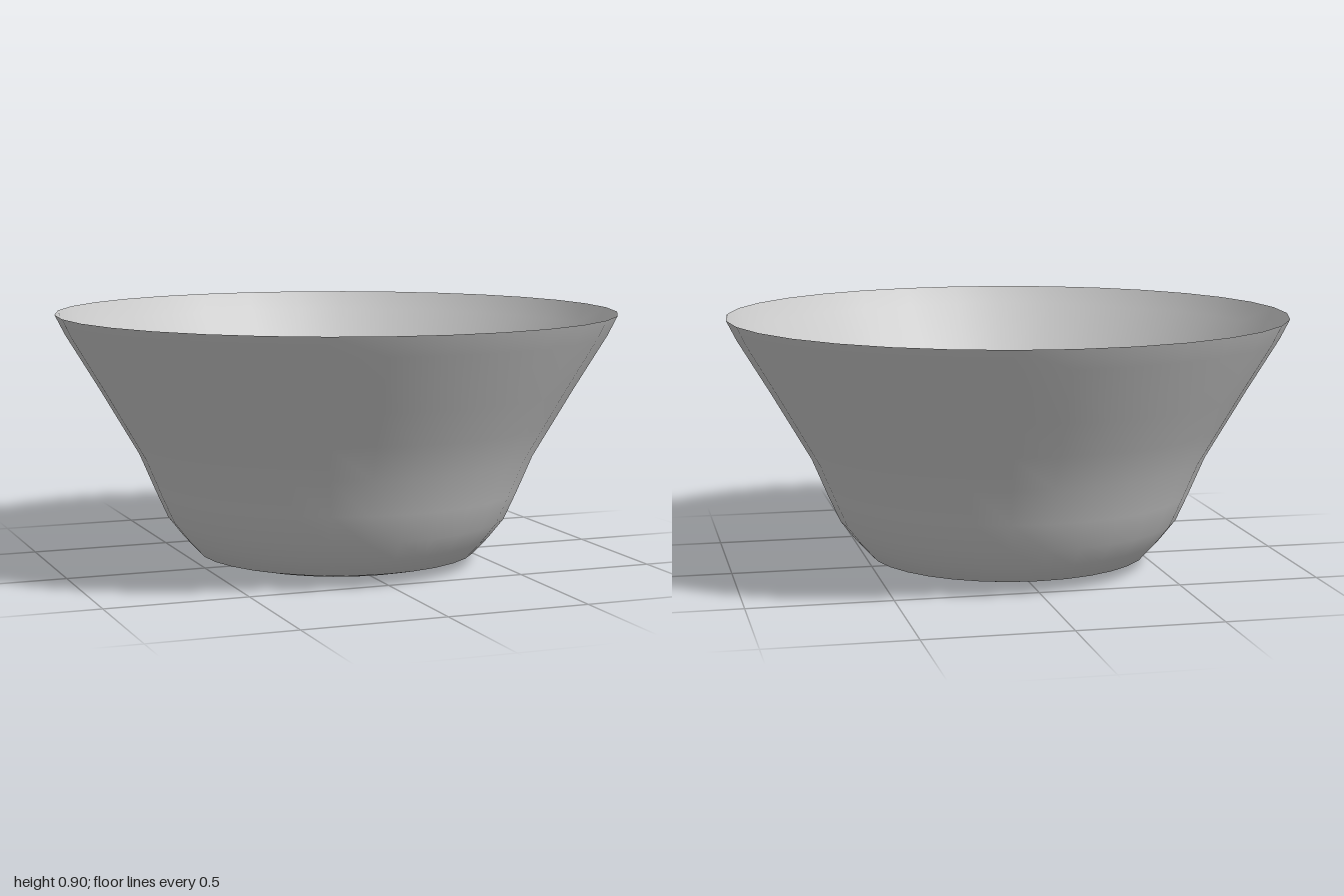
import * as THREE from 'three';

export function createModel() {
  const group = new THREE.Group();
  group.name = 'bowl';

  // Thin open shell: shallow rounded base, then flaring wall up to the rim
  const profile = [
    [0, 0], [0.22, 0.01], [0.42, 0.02], [0.5, 0.04], [0.555, 0.1], [0.61, 0.17],
    [0.655, 0.27], [0.71, 0.4], [0.78, 0.52], [0.85, 0.64], [0.965, 0.83], [1, 0.9],
  ].map(([r, y]) => new THREE.Vector2(r, y));

  const shell = new THREE.Mesh(
    new THREE.LatheGeometry(profile, 32),
    new THREE.MeshStandardMaterial({ color: 0xcccccc, side: THREE.DoubleSide })
  );
  shell.name = 'bowlShell';
  group.add(shell);
  return group;
}
